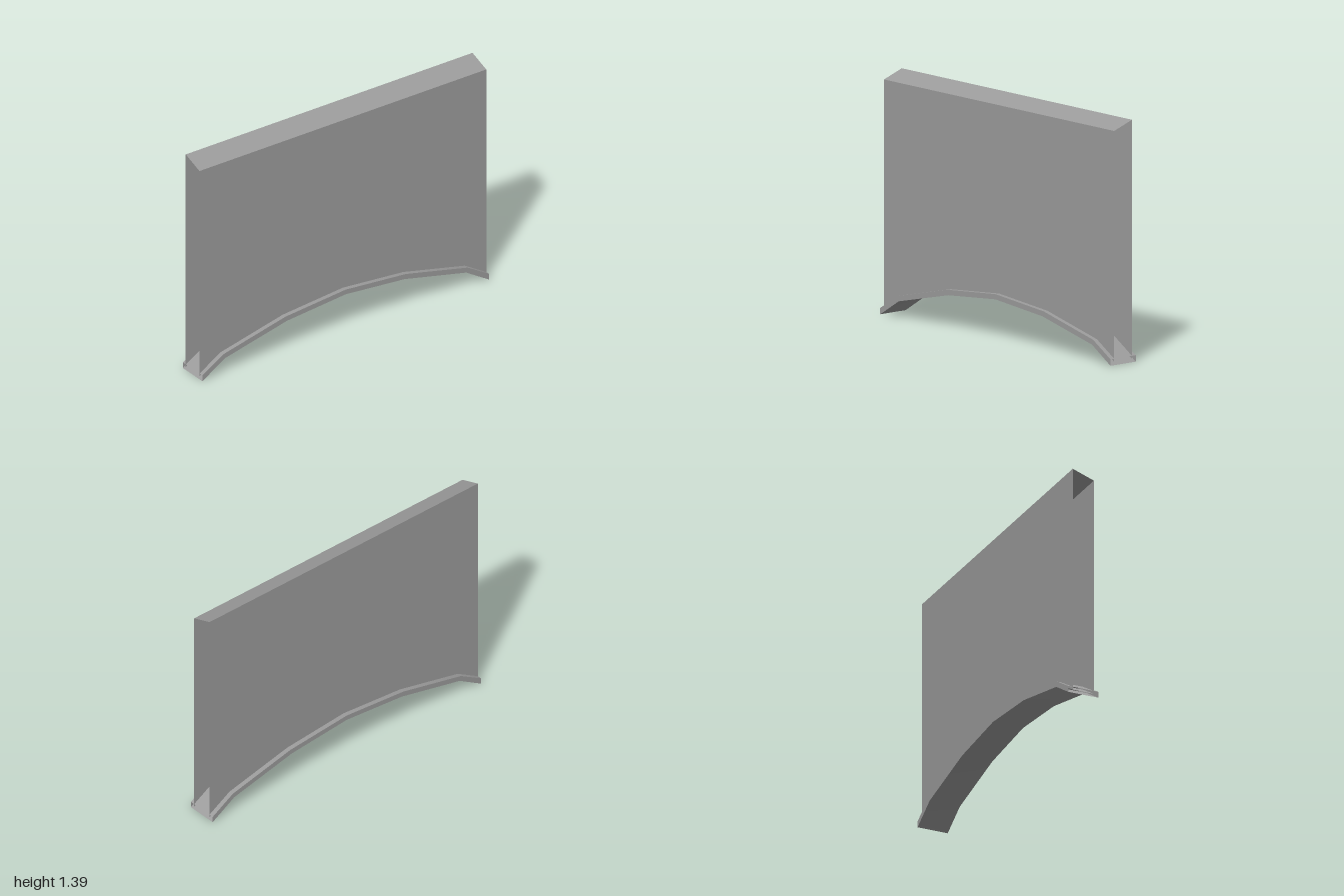
import * as THREE from 'three';

const grey = new THREE.MeshStandardMaterial({ color: 0x9b9b9b, side: THREE.DoubleSide });

const HALF_WALL = 0.066;
const HALF_FOOT = 0.094;
const FRONT_TOP = 1.347;
const BACK_TOP = 1.395;

// Mirror a half profile (outer end to crown) into a full arch running from -x to +x
function fullArch(half) {
  const right = half.slice(0, -1).reverse();
  return [...half.map(([x, y]) => [-x, y]), ...right].map(([x, y]) => new THREE.Vector2(x, y));
}

const upper = fullArch([[1, 0.037], [0.85, 0.127], [0.42, 0.227], [0, 0.264]]);
const lower = fullArch([[1, 0], [0.84, 0.098], [0.41, 0.197], [0, 0.234]]);
const wallBase = upper.map((p) => new THREE.Vector2(p.x, p.y - 0.018));

function part(name, geometry) {
  const mesh = new THREE.Mesh(geometry, grey);
  mesh.name = name;
  return mesh;
}

// Smoothly shaded sheet following an arch, spanning the given half depth
function archSheet(name, arch, halfDepth) {
  const geometry = new THREE.PlaneGeometry(2, 2 * halfDepth, arch.length - 1, 1);
  geometry.rotateX(-Math.PI / 2);
  const position = geometry.attributes.position;
  for (let i = 0; i < position.count; i++) {
    const p = arch[i % arch.length];
    position.setXY(i, p.x, p.y);
  }
  geometry.computeVertexNormals();
  return part(name, geometry);
}

// Flat upright sheet between a lower arch and an upper line
function uprightSheet(name, bottom, top, z) {
  const outline = [...bottom, ...[...top].reverse()];
  const mesh = part(name, new THREE.ShapeGeometry(new THREE.Shape(outline)));
  mesh.position.z = z;
  return mesh;
}

const level = (y) => [new THREE.Vector2(-1, y), new THREE.Vector2(1, y)];

export function createModel() {
  const group = new THREE.Group();
  group.name = 'archedWall';

  // Hollow wall, open at both ends, with its base sunk into the footing
  const wall = new THREE.Group();
  wall.name = 'wall';
  wall.add(
    uprightSheet('frontPanel', wallBase, level(FRONT_TOP), HALF_WALL),
    uprightSheet('backPanel', wallBase, level(BACK_TOP), -HALF_WALL),
    archSheet('wallBase', wallBase, HALF_WALL),
  );

  // Sloping cover joining the two panels
  const rise = BACK_TOP - FRONT_TOP;
  const cover = part('topCover', new THREE.PlaneGeometry(2, Math.hypot(rise, 2 * HALF_WALL)));
  cover.rotation.x = -Math.PI / 2 + Math.atan2(rise, 2 * HALF_WALL);
  cover.position.y = (FRONT_TOP + BACK_TOP) / 2;
  wall.add(cover);

  // Hollow arched footing, wider than the wall and open at both ends
  const footing = new THREE.Group();
  footing.name = 'archedFooting';
  footing.add(
    archSheet('footingTop', upper, HALF_FOOT),
    archSheet('footingUnderside', lower, HALF_FOOT),
    uprightSheet('footingFront', lower, upper, HALF_FOOT),
    uprightSheet('footingBack', lower, upper, -HALF_FOOT),
  );

  group.add(wall, footing);
  return group;
}
